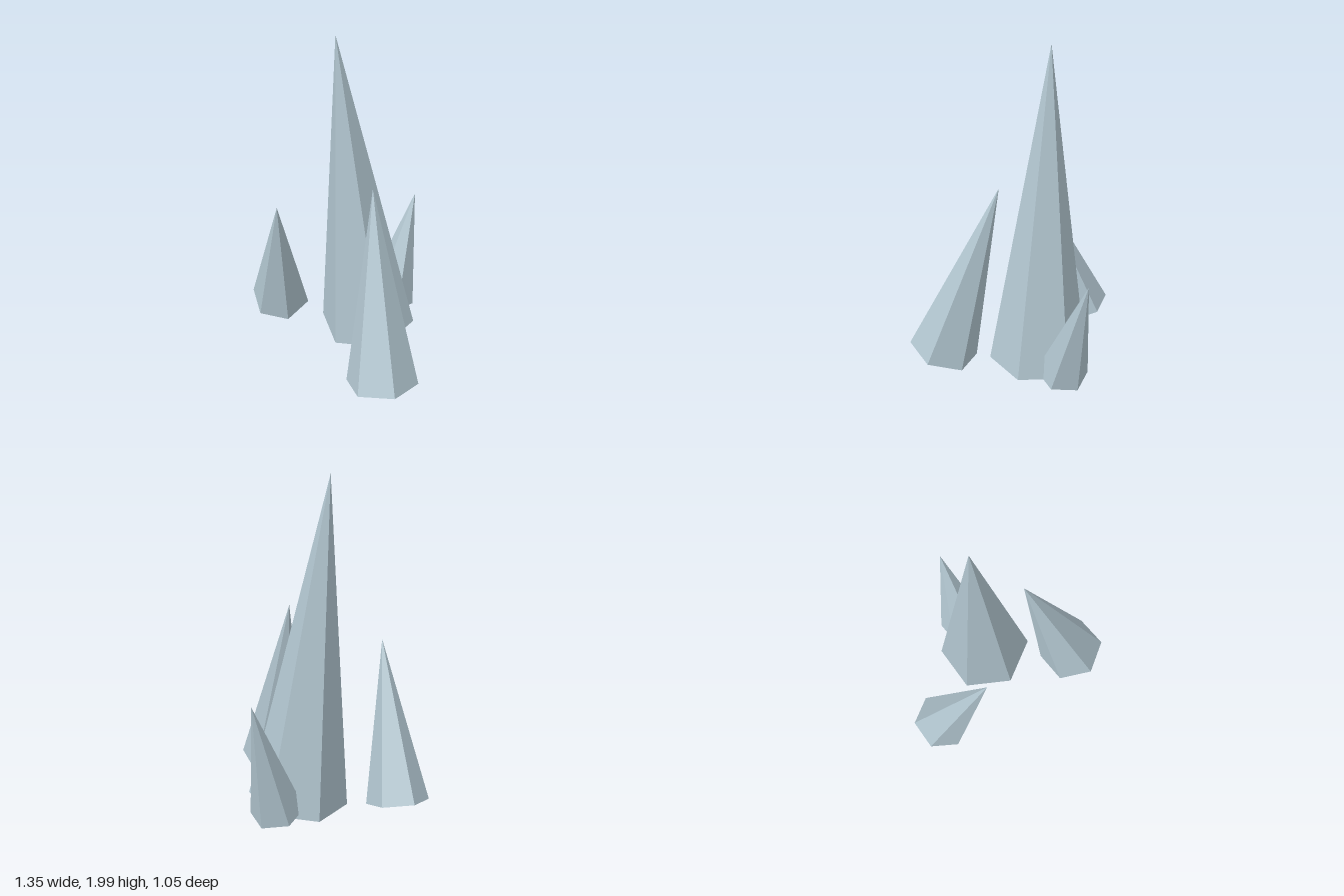
import * as THREE from 'three';

const crystal = new THREE.MeshStandardMaterial({ color: 0xb0c4ce });
crystal.name = 'paleBlueGrey';

// Six-sided spike from the centre of its base to its tip, base square to the axis
function spike(name, radius, base, tip) {
  const start = new THREE.Vector3(...base);
  const axis = new THREE.Vector3(...tip).sub(start);
  const length = axis.length();
  const geometry = new THREE.ConeGeometry(radius, length, 6)
    .translate(0, length / 2, 0)
    .toNonIndexed();
  geometry.computeVertexNormals(); // flat facets
  const mesh = new THREE.Mesh(geometry, crystal);
  mesh.name = name;
  mesh.position.copy(start);
  mesh.rotation.set(Math.atan2(axis.z, axis.y), 0, -Math.asin(axis.x / length));
  return mesh;
}

export function createModel() {
  const group = new THREE.Group();
  group.name = 'spikeCluster';
  group.add(
    spike('mainSpike', 0.303, [0.033, 0.04, -0.073], [-0.125, 2, 0.025]),
    spike('rightFrontSpike', 0.189, [-0.515, 0.067, 0.19], [-0.275, 1, 0.377]),
    spike('leftFrontSpike', 0.217, [0.495, 0.073, 0.307], [0.2, 1.205, 0.08]),
    spike('backSpike', 0.163, [0.02, 0.06, -0.3], [0.02, 0.785, -0.527]),
  );
  return group;
}
